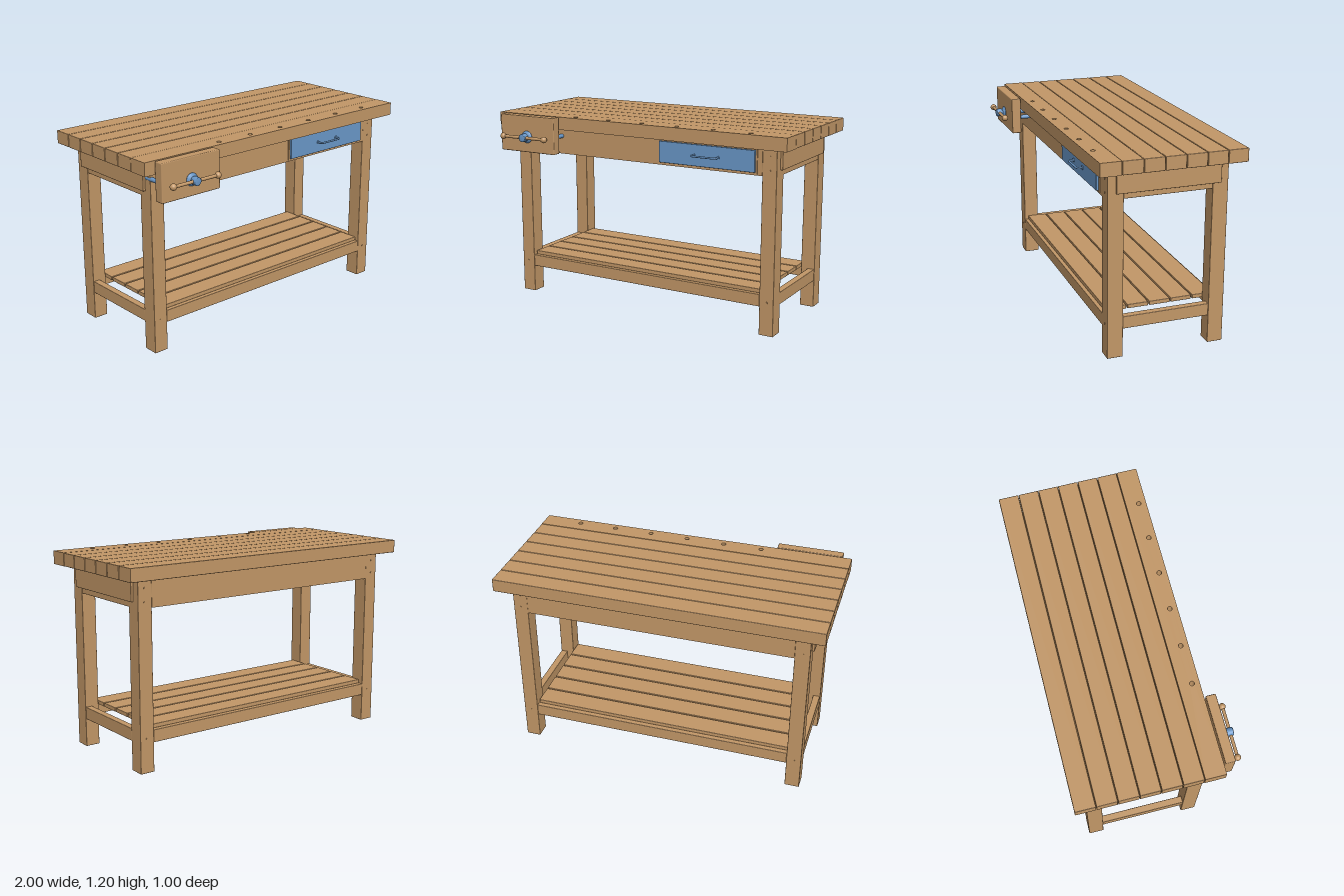
import * as THREE from 'three';
import { RoundedBoxGeometry } from 'three/addons/geometries/RoundedBoxGeometry.js';

export function createModel() {
  const model = new THREE.Group();
  model.name = 'workbench';
  const wood = new THREE.MeshStandardMaterial({ color: 0xc29767 });
  wood.name = 'wood';
  const blue = new THREE.MeshStandardMaterial({ color: 0x6a98c9 });
  blue.name = 'blue paint';

  function add(name, geometry, material = wood, parent = model) {
    const mesh = new THREE.Mesh(geometry, material);
    mesh.name = name;
    parent.add(mesh);
    return mesh;
  }
  // Board given by its extents on each axis, with slightly eased edges
  function board(name, [x0, x1], [y0, y1], [z0, z1], material = wood, ease = 0.003) {
    const w = x1 - x0, h = y1 - y0, d = z1 - z0;
    const g = ease ? new RoundedBoxGeometry(w, h, d, 1, ease) : new THREE.BoxGeometry(w, h, d);
    g.translate((x0 + x1) / 2, (y0 + y1) / 2, (z0 + z1) / 2);
    return add(name, g, material);
  }
  // Cylinder along z from z0 to z1
  function rodZ(name, x, y, z0, z1, r, material = blue, sides = 24) {
    const g = new THREE.CylinderGeometry(r, r, z1 - z0, sides);
    g.rotateX(Math.PI / 2).translate(x, y, (z0 + z1) / 2);
    return add(name, g, material);
  }

  // Top planks; the front one is drilled with dog holes
  const pitch = 0.87 / 7;
  for (let i = 0; i < 6; i++) {
    const z = -0.5 + i * pitch;
    board('topPlank', [-1, 1], [1.12, 1.2], [z, z + pitch - 0.003], wood, 0.004);
  }
  const z0 = -0.5 + 6 * pitch, z1 = 0.37;
  const plank = new THREE.Shape([
    new THREE.Vector2(-1, -z1), new THREE.Vector2(1, -z1),
    new THREE.Vector2(1, -z0), new THREE.Vector2(-1, -z0),
  ]);
  for (let i = 0; i < 6; i++) {
    plank.holes.push(new THREE.Path().absarc(-0.44 + i * 0.24, -0.325, 0.014, 0, Math.PI * 2, true));
  }
  const drilled = new THREE.ExtrudeGeometry(plank, { depth: 0.08, bevelEnabled: false, curveSegments: 20 });
  drilled.rotateX(-Math.PI / 2).translate(0, 1.12, 0);
  add('frontPlankWithDogHoles', drilled);

  // Legs, end rails and cleats, mirrored left and right
  for (const s of [-1, 1]) {
    const span = (a, b) => (s > 0 ? [a, b] : [-b, -a]);
    board('frontLeg', span(0.82, 0.91), [0, 1.12], [0.2, 0.295]);
    board('backLeg', span(0.82, 0.91), [0, 1.12], [-0.425, -0.33]);
    board('endApron', span(0.865, 0.908), [0.955, 1.12], [-0.33, 0.2]);
    board('endCleat', span(0.908, 0.925), [0.99, 1.12], [-0.377, 0.247]);
    board('endShelfRail', span(0.865, 0.908), [0.175, 0.25], [-0.33, 0.2]);
    // Bolt heads on the outer faces of the legs
    for (const y of [0.205, 0.99, 1.07]) {
      rodZ('boltHead', s * 0.867, y, 0.292, 0.298, 0.006, wood, 10);
      rodZ('boltHead', s * 0.867, y, -0.428, -0.422, 0.006, wood, 10);
    }
  }

  // Long aprons and shelf rails
  board('frontApron', [-0.82, 0.82], [0.955, 1.12], [0.255, 0.295], wood, 0);
  board('backApron', [-0.82, 0.82], [0.955, 1.12], [-0.425, -0.385], wood, 0);
  board('frontShelfRail', [-0.82, 0.82], [0.175, 0.25], [0.255, 0.295]);
  board('backShelfRail', [-0.82, 0.82], [0.175, 0.25], [-0.425, -0.385]);

  // Shelf slats
  for (let i = 0; i < 5; i++) {
    const c = -0.0625 + (i - 2) * 0.1355;
    board('shelfSlat', [-0.815, 0.815], [0.25, 0.275], [c - 0.0635, c + 0.0635]);
  }

  // Drawer housing under the top
  board('drawerFloor', [0.16, 0.81], [0.985, 0.995], [-0.385, 0.255], wood, 0);
  board('drawerRunner', [0.145, 0.165], [0.96, 1.12], [-0.385, 0.255], wood, 0);
  board('drawerRunner', [0.795, 0.815], [0.96, 1.12], [-0.385, 0.255], wood, 0);

  // Drawer front, surround and pull
  board('drawerSurround', [0.14, 0.79], [0.963, 1.112], [0.29, 0.301], wood, 0);
  board('drawerFront', [0.15, 0.78], [0.973, 1.102], [0.292, 0.314], blue, 0.002);
  const pull = new THREE.CurvePath();
  const pts = [[0.385, 0.312], [0.385, 0.34], [0.395, 0.347], [0.535, 0.347], [0.545, 0.34], [0.545, 0.312]]
    .map(([x, z]) => new THREE.Vector3(x, 1.037, z));
  for (let i = 0; i < pts.length - 1; i++) pull.add(new THREE.LineCurve3(pts[i], pts[i + 1]));
  add('drawerPull', new THREE.TubeGeometry(pull, 48, 0.006, 10), blue);
  for (const x of [0.385, 0.545]) rodZ('pullFoot', x, 1.037, 0.312, 0.318, 0.012);

  // Vise: jaw, guide rods, screw and turning handle
  const vx = -0.735, vy = 1.068;
  board('viseJaw', [-0.94, -0.53], [0.97, 1.2], [0.38, 0.44], wood, 0.006);
  for (const dx of [-0.165, 0.165]) rodZ('viseGuideRod', vx + dx, vy, 0.25, 0.4, 0.013);
  rodZ('viseScrew', vx, vy, 0.25, 0.46, 0.018);
  const hub = new THREE.LatheGeometry(
    [[0, 0.438], [0.038, 0.438], [0.038, 0.444], [0.028, 0.452], [0.018, 0.455], [0.018, 0.458],
      [0.025, 0.461], [0.025, 0.493], [0.021, 0.497], [0, 0.497]]
      .map(([r, h]) => new THREE.Vector2(r, h)), 24);
  hub.rotateX(Math.PI / 2).translate(vx, vy, 0);
  add('viseHub', hub, blue);
  const bar = new THREE.CylinderGeometry(0.01, 0.01, 0.31, 16);
  bar.rotateZ(Math.PI / 2).translate(vx, vy, 0.478);
  add('viseHandleBar', bar);
  for (const s of [-1, 1]) {
    const knob = new THREE.SphereGeometry(0.02, 20, 14);
    knob.translate(vx + s * 0.157, vy, 0.478);
    add('viseHandleKnob', knob);
  }

  return model;
}
